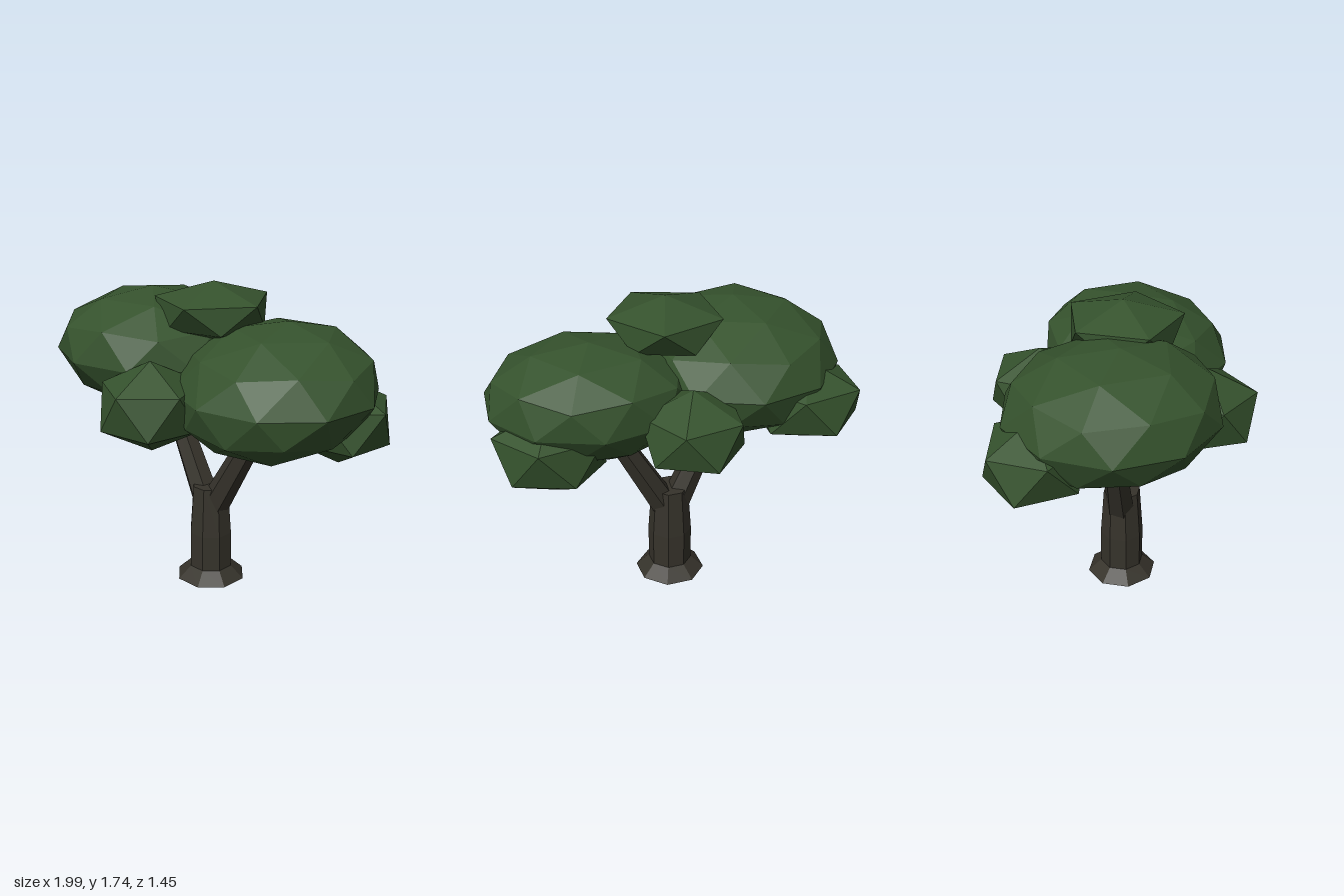
import * as THREE from 'three';

export function createModel() {
  const tree = new THREE.Group();
  tree.name = 'tree';

  const leaf = new THREE.MeshStandardMaterial({ color: 0x35522d, flatShading: true });
  leaf.name = 'leaf green';
  const bark = new THREE.MeshStandardMaterial({ color: 0x36332b, flatShading: true, side: THREE.DoubleSide });
  bark.name = 'dark bark';

  const add = (name, geometry, material) => {
    const mesh = new THREE.Mesh(geometry, material);
    mesh.name = name;
    tree.add(mesh);
    return mesh;
  };

  // Leaf clump: an icosahedron standing on a vertex, turned, stretched,
  // narrowed below and leaned along z
  const clump = (name, detail, center, radii, yaw, taper = 1, lean = 0) => {
    const g = new THREE.IcosahedronGeometry(1, detail);
    g.rotateZ(-Math.atan(2 / (1 + Math.sqrt(5))));
    g.rotateY(yaw);
    const p = g.attributes.position;
    for (let i = 0; i < p.count; i++) {
      const y = p.getY(i), k = y < -0.1 ? taper : 1;
      p.setXYZ(i, p.getX(i) * k, y, p.getZ(i) * k + lean * y);
    }
    g.scale(...radii);
    g.translate(...center);
    g.computeVertexNormals();
    add(name, g, leaf);
  };

  // Two main crowns
  clump('crownRight', 1, [-0.375, 1.315, 0.06], [0.57, 0.35, 0.58], Math.PI, 0.97, 0.08);
  clump('crownLeft', 1, [0.455, 1.23, -0.055], [0.565, 0.35, 0.53], 0, 0.97, -0.17);

  // Smaller clumps around them
  clump('topClump', 0, [0.025, 1.575, 0], [0.355, 0.165, 0.365], 0.08, 0.85);
  clump('frontClump', 0, [0.06, 1.145, 0.455], [0.3, 0.245, 0.305], 1.19);
  clump('backClump', 0, [-0.015, 1.18, -0.46], [0.305, 0.23, 0.315], -1.32);
  clump('rightClump', 0, [-0.7, 1.165, -0.23], [0.335, 0.23, 0.3], 0);
  clump('leftClump', 0, [0.69, 1.07, -0.305], [0.34, 0.24, 0.29], 0, 0.92);

  // Trunk and its flared, hollow foot
  const lathe = (name, profile) => {
    const g = new THREE.LatheGeometry(profile.map(([r, y]) => new THREE.Vector2(r, y)), 8);
    g.rotateY(Math.PI / 8 + 0.1);
    add(name, g, bark);
  };
  lathe('trunk', [[0, 0.065], [0.125, 0.065], [0.125, 0.28], [0.105, 0.565], [0, 0.565]]);
  lathe('foot', [[0.2, 0], [0.125, 0.07]]);

  // Tapered limb between two points
  const limb = (name, from, to, r0, r1) => {
    const a = new THREE.Vector3(...from), b = new THREE.Vector3(...to);
    const dir = b.clone().sub(a);
    const mesh = add(name, new THREE.CylinderGeometry(r1, r0, dir.length(), 6), bark);
    mesh.position.copy(a).add(b).multiplyScalar(0.5);
    mesh.quaternion.setFromUnitVectors(new THREE.Vector3(0, 1, 0), dir.normalize());
  };

  // Forked branches and a short twig
  limb('branchRight', [-0.02, 0.43, 0.0], [-0.29, 1.01, 0.04], 0.085, 0.06);
  limb('branchLeft', [0.02, 0.43, 0.0], [0.34, 1.01, -0.07], 0.085, 0.06);
  limb('twig', [-0.26, 0.93, 0.03], [-0.4, 0.99, -0.06], 0.035, 0.015);

  return tree;
}
